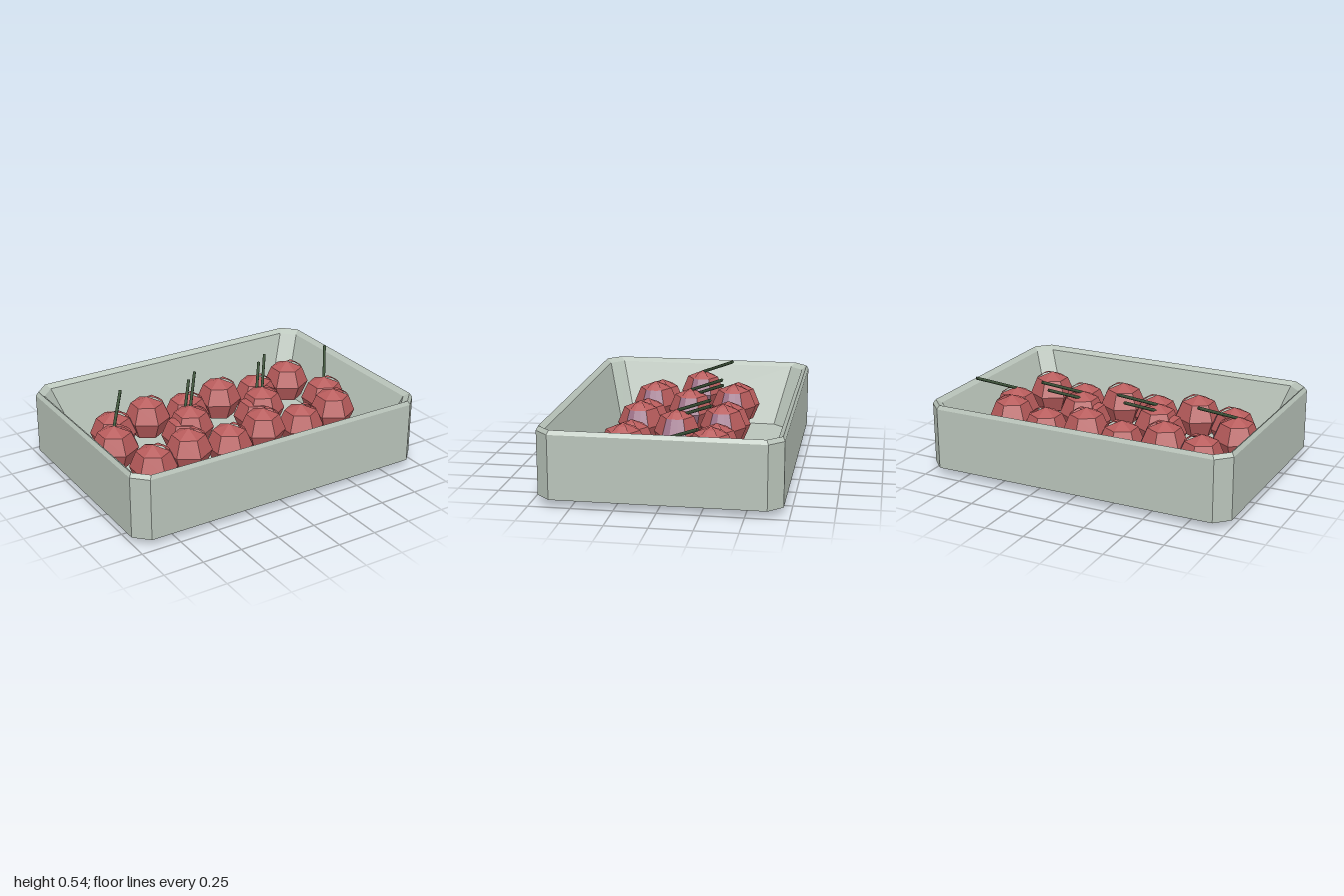
import * as THREE from 'three';
import { mergeGeometries } from 'three/addons/utils/BufferGeometryUtils.js';

const material = (name, color) => {
  const m = new THREE.MeshStandardMaterial({ color });
  m.name = name;
  return m;
};

// Faceted normals
function facet(geometry) {
  const g = geometry.index ? geometry.toNonIndexed() : geometry;
  g.computeVertexNormals();
  return g;
}

// Rectangle with cut corners, running from +x towards +z
function octagon([hx, hz, cut, y]) {
  return [
    [hx, -hz + cut], [hx, hz - cut], [hx - cut, hz], [-hx + cut, hz],
    [-hx, hz - cut], [-hx, -hz + cut], [-hx + cut, -hz], [hx - cut, -hz],
  ].map(([x, z]) => [x, y, z]);
}

// Closed skin through a list of octagonal sections, capped at both ends
function loft(sections) {
  const rings = sections.map(octagon);
  const first = sections[0][3], last = sections[sections.length - 1][3];
  const pos = [];
  const tri = (...corners) => corners.forEach((c) => pos.push(...c));
  for (let i = 0; i < 8; i++) {
    const j = (i + 1) % 8;
    tri([0, first, 0], rings[0][i], rings[0][j]);
    for (let k = 0; k < rings.length - 1; k++) {
      const a = rings[k], b = rings[k + 1];
      tri(a[i], b[i], a[j]);
      tri(a[j], b[i], b[j]);
    }
    const end = rings[rings.length - 1];
    tri([0, last, 0], end[j], end[i]);
  }
  const g = new THREE.BufferGeometry();
  g.setAttribute('position', new THREE.Float32BufferAttribute(pos, 3));
  return facet(g);
}

export function createModel() {
  const model = new THREE.Group();
  model.name = 'fruitTray';

  const trayMat = material('pale grey green', 0xb9c4ba);
  const redMat = material('fruit red', 0xb85c5c);
  const blushMat = material('fruit purple', 0x9c7088);
  const stemMat = material('stem green', 0x3c5238);

  const add = (parent, name, geometry, mat) => {
    const mesh = new THREE.Mesh(geometry, mat);
    mesh.name = name;
    parent.add(mesh);
    return mesh;
  };

  // Tray: underside, outer wall, bevelled rim, sloping inner wall, floor
  add(model, 'tray', loft([
    [0.86, 0.61, 0.075, 0],
    [1.0, 0.712, 0.085, 0.045],
    [1.0, 0.712, 0.085, 0.43],
    [0.985, 0.7, 0.083, 0.455],
    [0.957, 0.67, 0.08, 0.43],
    [0.82, 0.57, 0.08, 0.05],
  ]), trayMat);

  // Fruit: six-sided ball with one purple side facing +x
  const R = 0.145, PI = Math.PI;
  const side = (5 * PI) / 6, sixth = PI / 3;
  const flesh = facet(mergeGeometries([
    new THREE.SphereGeometry(R, 5, 4, side + sixth, 5 * sixth),
    new THREE.SphereGeometry(R, 1, 1, side, sixth, 0, PI / 4),
    new THREE.SphereGeometry(R, 1, 1, side, sixth, (3 * PI) / 4, PI / 4),
  ]));
  const blush = facet(new THREE.SphereGeometry(R, 1, 2, side, sixth, PI / 4, PI / 2));

  // Stem leaning back and to +x from the fruit's top
  const stemPath = new THREE.LineCurve3(
    new THREE.Vector3(0, R - 0.01, 0), new THREE.Vector3(0.163, R + 0.102, -0.225));
  const stemGeo = mergeGeometries([new THREE.TubeGeometry(stemPath, 1, 0.01, 6)]);
  const tip = new THREE.CircleGeometry(0.01, 6);
  const dir = stemPath.getTangent(1);
  tip.applyQuaternion(new THREE.Quaternion().setFromUnitVectors(new THREE.Vector3(0, 0, 1), dir));
  tip.translate(stemPath.v2.x, stemPath.v2.y, stemPath.v2.z);
  const stem = mergeGeometries([stemGeo, tip]);

  // Three rings of six fruits, alternating low and high
  for (const cx of [-0.53, 0, 0.53]) {
    const ring = new THREE.Group();
    ring.name = 'fruitRing';
    ring.position.x = cx;
    model.add(ring);
    for (let i = 0; i < 6; i++) {
      const a = i * sixth;
      const fruit = new THREE.Group();
      fruit.name = 'fruit';
      fruit.position.set(Math.cos(a) * 0.243, i % 2 ? 0.28 : 0.235, Math.sin(a) * 0.3);
      // Upper and lower rows sit slightly closer than a true circle
      if (i % 3) fruit.position.z = Math.sign(Math.sin(a)) * 0.26;
      add(fruit, 'flesh', flesh, redMat);
      add(fruit, 'blush', blush, blushMat);
      if (i % 3 === 0) add(fruit, 'stem', stem, stemMat);
      ring.add(fruit);
    }
  }
  return model;
}
